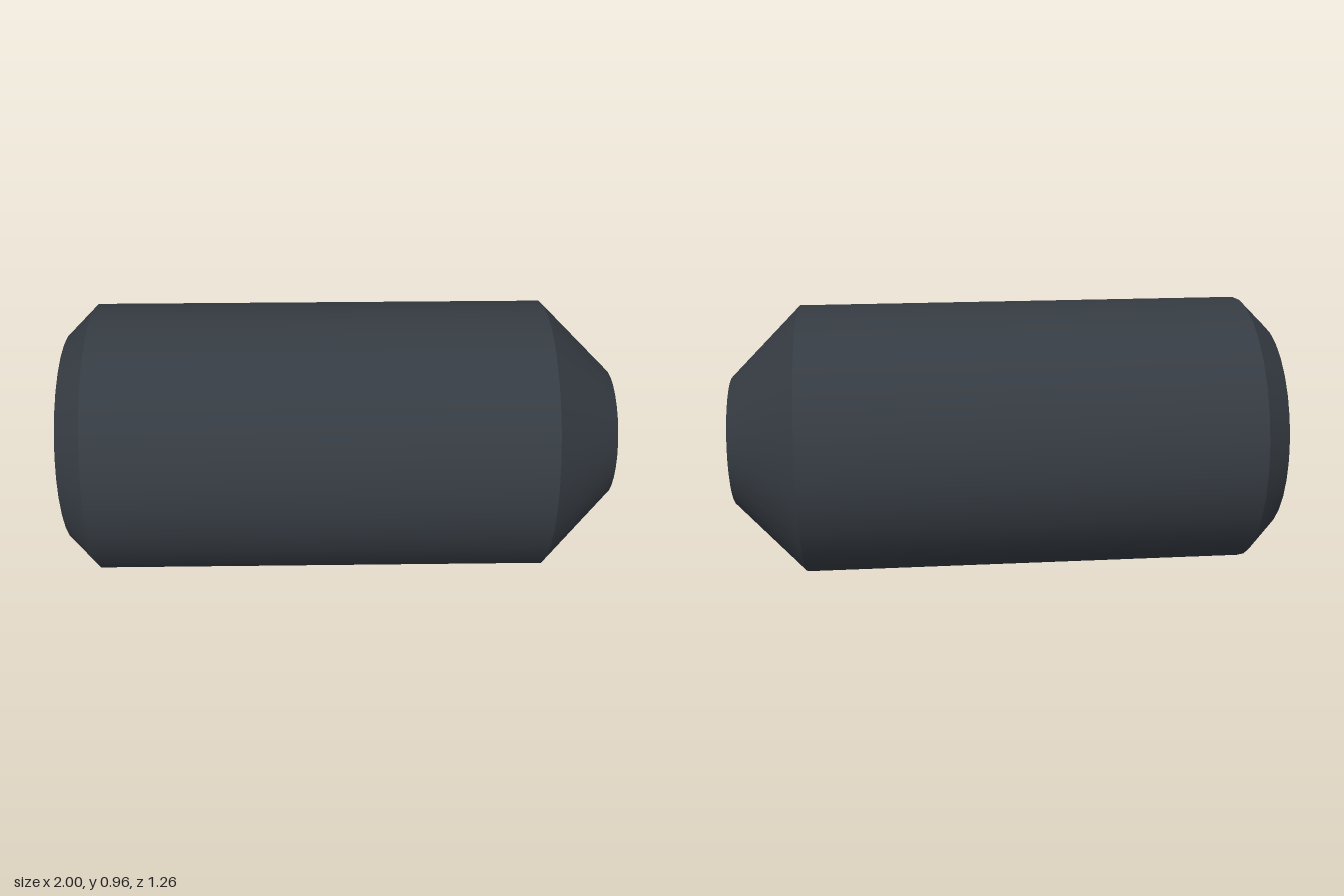
import * as THREE from 'three';
import { toCreasedNormals } from 'three/addons/utils/BufferGeometryUtils.js';

const SIDES = 32, STEPS = 96;
const R = 0.478, TIP_R = 0.23, END_R = 0.378, RIM_R = 0.279, HEX = 0.24;
const END_Y = -0.941, FLOOR_Y = -0.36;

// Radius of a regular polygon at angle a, with its first corner at angle start
function polygonRadius(sides, corner, a, start = 0) {
  const step = (2 * Math.PI) / sides;
  const t = (((a - start) % step) + step) % step;
  return (corner * Math.cos(step / 2)) / Math.cos(t - step / 2);
}

// Surface between two rings, each a function of angle returning [radius, height]
function strip(ringA, ringB) {
  const pos = [], index = [];
  for (let i = 0; i <= STEPS; i++) {
    const a = (i / STEPS) * Math.PI * 2;
    for (const ring of [ringA, ringB]) {
      const [r, y] = ring(a);
      pos.push(r * Math.sin(a), y, r * Math.cos(a));
    }
  }
  for (let i = 0; i < STEPS; i++) {
    const k = 2 * i;
    index.push(k, k + 1, k + 2, k + 1, k + 3, k + 2);
  }
  const geo = new THREE.BufferGeometry();
  geo.setAttribute('position', new THREE.Float32BufferAttribute(pos, 3));
  geo.setIndex(index);
  return toCreasedNormals(geo, 0.5);
}

export function createModel() {
  const model = new THREE.Group();
  model.name = 'setScrew';
  const steel = new THREE.MeshStandardMaterial({ color: 0x353b42 });
  steel.name = 'blackened steel';

  const add = (name, geo) => {
    const mesh = new THREE.Mesh(geo, steel);
    mesh.name = name;
    screw.add(mesh);
  };
  const screw = new THREE.Group();
  screw.name = 'screw';

  // Turned outside: each section is its own lathe so the edges stay sharp
  const sections = {
    rearChamfer: [END_R, END_Y, R, -0.841],
    body: [R, -0.841, R, 0.727],
    tipCone: [R, 0.727, TIP_R, 0.974],
    tipCup: [TIP_R, 0.974, 0, 0.841],
  };
  for (const [name, [r0, y0, r1, y1]] of Object.entries(sections)) {
    const profile = [new THREE.Vector2(r0, y0), new THREE.Vector2(r1, y1)];
    add(name, new THREE.LatheGeometry(profile, SIDES));
  }

  // Rear face and hex socket, with a conical countersink cutting the flats in arcs
  const outer = (a) => [polygonRadius(SIDES, END_R, a), END_Y];
  const rim = () => [RIM_R, END_Y];
  const hexRadius = (a) => polygonRadius(6, HEX / Math.cos(Math.PI / 6), a, Math.PI / 6);
  const mouth = (a) => [hexRadius(a), END_Y + (RIM_R - hexRadius(a))];
  const floor = (a) => [hexRadius(a), FLOOR_Y];
  add('rearFace', strip(outer, rim));
  add('socketCountersink', strip(rim, mouth));
  add('socketWalls', strip(mouth, floor));
  add('socketFloor', strip(floor, () => [0, FLOOR_Y]));

  // Lay the screw on its side, turned slightly towards the front
  screw.rotation.set(0, -THREE.MathUtils.degToRad(12), -Math.PI / 2);
  screw.position.set(-0.002, R, 0.01);
  model.add(screw);
  return model;
}
